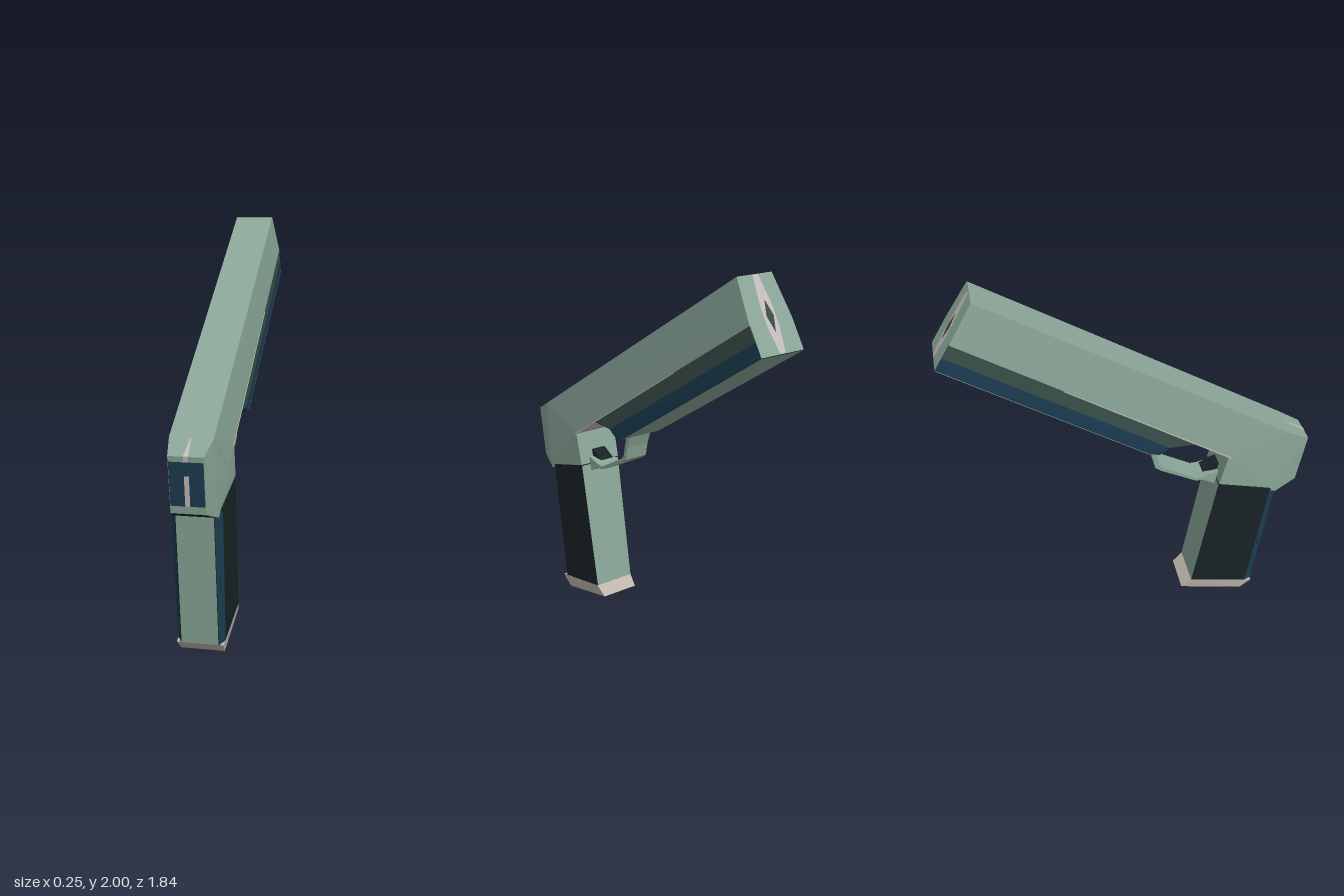
import * as THREE from 'three';
import { ConvexGeometry } from 'three/addons/geometries/ConvexGeometry.js';

const paint = (color) => new THREE.MeshStandardMaterial({ color, side: THREE.DoubleSide });
const green = paint(0x8aa698), darkGreen = paint(0x3a504b), navy = paint(0x1c3d52);
const black = paint(0x192225), taupe = paint(0xbdb5ab), pale = paint(0xc4bcbc), hole = paint(0x3c4a46);

export function createModel() {
  const model = new THREE.Group();
  const add = (name, geometry, material, parent = model) => {
    const mesh = new THREE.Mesh(geometry, material);
    mesh.name = name;
    parent.add(mesh);
    return mesh;
  };

  // Convex faceted block, symmetric in x, from [z, y, halfWidth] points
  const block = (name, material, points) => add(name, new ConvexGeometry(
    points.flatMap(([z, y, w]) => [new THREE.Vector3(w, y, z), new THREE.Vector3(-w, y, z)])), material);

  // Flat panel through four [x, y, z] corners
  const panel = (name, material, corners) => {
    const g = new THREE.BufferGeometry();
    const [a, b, c, d] = corners;
    g.setAttribute('position', new THREE.Float32BufferAttribute([a, b, c, a, c, d].flat(), 3));
    g.computeVertexNormals();
    return add(name, g, material);
  };
  // Panel spanning -w..w between two [z, y, halfWidth] points
  const strip = (name, material, [z0, y0, w0], [z1, y1, w1]) =>
    panel(name, material, [[w0, y0, z0], [-w0, y0, z0], [-w1, y1, z1], [w1, y1, z1]]);

  // Side profile of [z, y] points, extruded across the width
  const plate = (name, material, halfWidth, points) => {
    const shape = new THREE.Shape(points.map(([z, y]) => new THREE.Vector2(z, y)));
    const g = new THREE.ExtrudeGeometry(shape, { depth: halfWidth * 2, bevelEnabled: false });
    g.translate(0, 0, -halfWidth).rotateY(-Math.PI / 2);
    return add(name, g, material);
  };

  // Upper body
  block('slide', green, [[0.81, 1.07, 0.1], [-0.73, 2, 0.1], [-0.845, 1.815, 0.125],
    [0.48, 0.987, 0.125], [0.62, 0.9, 0.118]]);
  block('rearBody', green, [[0.81, 1.07, 0.1], [0.92, 1.01, 0.08], [0.875, 0.745, 0.08], [0.8, 0.85, 0.106],
    [0.76, 0.7, 0.11], [0.44, 0.81, 0.122], [0.48, 0.975, 0.124]]);
  block('slideSeam', pale, [[0.5, 0.968, 0.1265], [0.49, 0.982, 0.1265], [-0.35, 1.506, 0.1265], [-0.35, 1.502, 0.1265]]);

  // Frame below the slide
  block('frameUpperBand', darkGreen, [[-0.845, 1.815, 0.125], [0.31, 1.093, 0.124], [0.17, 1.09, 0.123], [-0.883, 1.752, 0.124]]);
  block('frameLowerBand', navy, [[-0.883, 1.752, 0.124], [0.17, 1.09, 0.123], [0.12, 1.05, 0.118],
    [0.07, 1.062, 0.12], [-0.92, 1.692, 0.124]]);
  strip('frameUnderside', green, [0.07, 1.059, 0.12], [-0.92, 1.689, 0.124]);

  // Muzzle face with its diamond opening
  const muzzle = new THREE.Group();
  muzzle.name = 'muzzle';
  muzzle.position.set(0, 1.846, -0.826);
  muzzle.lookAt(0, 1.846 + 0.523, -0.826 - 0.853);
  model.add(muzzle);
  const face = (name, material, offset, points) => {
    const shape = new THREE.Shape(points.map(([x, y]) => new THREE.Vector2(x, y)));
    add(name, new THREE.ShapeGeometry(shape), material, muzzle).position.z = offset;
  };
  face('muzzleFace', green, 0.002, [[-0.124, -0.181], [0.124, -0.181], [0.124, -0.035], [0.1, 0.181], [-0.1, 0.181], [-0.124, -0.035]]);
  face('muzzleInsert', pale, 0.004, [[-0.016, -0.178], [0.016, -0.178], [0.034, -0.06], [0.034, 0.04],
    [0.016, 0.178], [-0.016, 0.178], [-0.034, 0.04], [-0.034, -0.06]]);
  face('bore', hole, 0.006, [[0, -0.085], [0.021, -0.01], [0, 0.065], [-0.021, -0.01]]);

  // Rear plate and sighting line
  strip('rearPlate', navy, [0.918, 0.985, 0.078], [0.883, 0.78, 0.078]);
  strip('rearStripe', pale, [0.921, 1.01, 0.011], [0.885, 0.78, 0.011]);
  strip('rearTopStripe', pale, [0.921, 1.012, 0.011], [0.82, 1.069, 0.002]);
  strip('rearUnderside', black, [0.875, 0.743, 0.08], [0.76, 0.698, 0.109]);

  // Grip with coloured straps
  block('grip', black, [[0.76, 0.71, 0.09], [0.72, 0.73, 0.12], [0.44, 0.81, 0.122],
    [0.67, 0.055, 0.09], [0.63, 0.064, 0.113], [0.32, 0.125, 0.115]]);
  strip('backStrap', green, [0.762, 0.7, 0.088], [0.672, 0.055, 0.088]);
  strip('frontStrap', green, [0.438, 0.805, 0.12], [0.318, 0.125, 0.113]);
  for (const s of [-1, 1]) {
    panel('gripBevel', navy, [[s * 0.091, 0.7, 0.762], [s * 0.121, 0.72, 0.722],
      [s * 0.114, 0.064, 0.632], [s * 0.091, 0.055, 0.672]]);
  }
  block('gripBase', taupe, [[0.67, 0.055, 0.112], [0.61, 0, 0.105], [0.265, 0.075, 0.105], [0.32, 0.125, 0.115]]);

  // Trigger guard loop and trigger
  plate('triggerGuard', green, 0.065, [[0.07, 1.065], [0.095, 0.995], [0.11, 0.925], [0.145, 0.9], [0.33, 0.805],
    [0.37, 0.805], [0.44, 0.765], [0.46, 0.85], [0.37, 0.825], [0.33, 0.822], [0.15, 0.92], [0.13, 0.94],
    [0.118, 1.0], [0.1, 1.065]]);
  plate('trigger', black, 0.04, [[0.47, 0.885], [0.43, 0.872], [0.37, 0.84], [0.46, 0.845]]);
  return model;
}
